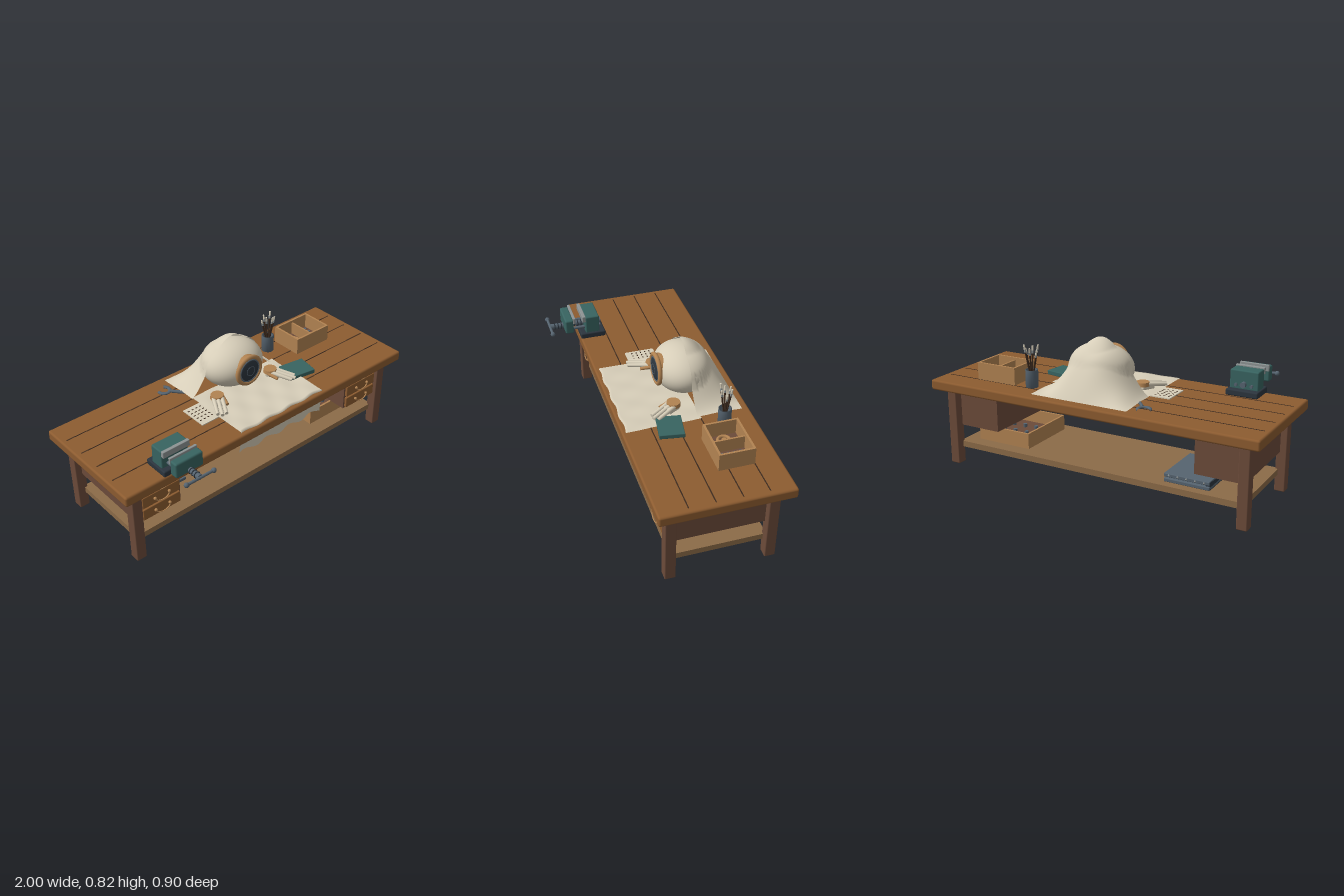
import * as THREE from 'three';
import { RoundedBoxGeometry } from 'three/addons/geometries/RoundedBoxGeometry.js';

const mat = (name, color, side = THREE.FrontSide) => {
  const m = new THREE.MeshStandardMaterial({ color, side });
  m.name = name;
  return m;
};

export function createModel() {
  const oak = mat('oak', 0x8d5c30), walnut = mat('walnut', 0x6c4b3a), shelfWood = mat('shelf wood', 0x8c6b48);
  const tan = mat('light wood', 0xb28352), canvas = mat('canvas', 0xd6cdb8, THREE.DoubleSide);
  const teal = mat('teal', 0x386461), slate = mat('slate', 0x566470), dark = mat('dark iron', 0x2c353e);
  const steel = mat('steel', 0x8d9393), umber = mat('umber', 0x3c2a1e);

  const model = new THREE.Group();
  const group = (name, x = 0, y = 0, z = 0, ry = 0) => {
    const g = new THREE.Group();
    g.name = name;
    g.position.set(x, y, z);
    g.rotation.y = ry;
    model.add(g);
    return g;
  };
  const add = (parent, name, geo, m, x = 0, y = 0, z = 0) => {
    const mesh = new THREE.Mesh(geo, m);
    mesh.name = name;
    mesh.position.set(x, y, z);
    parent.add(mesh);
    return mesh;
  };
  // box given by its limits; r rounds the edges
  const box = (parent, name, m, [x0, x1], [y0, y1], [z0, z1], r = 0) => {
    const s = [x1 - x0, y1 - y0, z1 - z0];
    const geo = r ? new RoundedBoxGeometry(...s, 2, r) : new THREE.BoxGeometry(...s);
    return add(parent, name, geo, m, (x0 + x1) / 2, (y0 + y1) / 2, (z0 + z1) / 2);
  };
  const rod = (parent, name, m, a, b, r0, r1 = r0, sides = 12) => {
    const p = new THREE.Vector3(...a), d = new THREE.Vector3(...b).sub(p);
    const mesh = add(parent, name, new THREE.CylinderGeometry(r1, r0, d.length(), sides), m);
    mesh.position.copy(p).addScaledVector(d, 0.5);
    mesh.quaternion.setFromUnitVectors(new THREE.Vector3(0, 1, 0), d.normalize());
    return mesh;
  };
  // cloth surface: rule maps u (left to right), v (back to front) to a point
  const sheet = (parent, name, nu, nv, rule) => {
    const geo = new THREE.PlaneGeometry(1, 1, nu, nv), p = geo.attributes.position;
    for (let i = 0; i < p.count; i++) p.setXYZ(i, ...rule(p.getX(i) + 0.5, 0.5 - p.getY(i)));
    geo.computeVertexNormals();
    return add(parent, name, geo, canvas);
  };
  // open-topped box
  const tray = (parent, w, h, d, t) => {
    box(parent, 'trayFloor', walnut, [-w / 2 + t, w / 2 - t], [0, 0.012], [-d / 2 + t, d / 2 - t]);
    for (const s of [-1, 1]) {
      box(parent, 'trayEnd', tan, [s * w / 2 - (s > 0 ? t : 0), s * w / 2 + (s > 0 ? 0 : t)], [0, h], [-d / 2, d / 2]);
      box(parent, 'traySide', tan, [-w / 2, w / 2], [0, h], [s * d / 2 - (s > 0 ? t : 0), s * d / 2 + (s > 0 ? 0 : t)]);
    }
  };

  // Bench
  const bench = group('workbench');
  box(bench, 'benchTop', oak, [-1, 1], [0.455, 0.515], [-0.45, 0.268], 0.012);
  for (const z of [-0.31, -0.17, -0.03, 0.11])
    box(bench, 'plankGroove', umber, [-0.97, 0.97], [0.512, 0.516], [z - 0.003, z + 0.003]);
  box(bench, 'lowerShelf', shelfWood, [-0.89, 0.89], [0.095, 0.13], [-0.35, 0.17]);
  for (const s of [-1, 1]) {
    for (const z of [0.183, -0.363])
      box(bench, 'leg', walnut, [s * 0.903 - 0.03, s * 0.903 + 0.03], [0, 0.457], [z - 0.03, z + 0.03], 0.006);
    const cab = group('drawerCabinet', s * 0.745);
    box(cab, 'cabinetCase', walnut, [-0.128, 0.15], [0.23, 0.456], [-0.345, 0.185]).position.x = s * 0.011;
    [[0.238, 0.306], [0.316, 0.386], [0.396, 0.45]].forEach(([y0, y1]) => {
      box(cab, 'drawerFront', oak, [-0.118, 0.118], [y0, y1], [0.18, 0.2], 0.004);
      const y = (y0 + y1) / 2 + 0.004;
      const pull = add(cab, 'drawerPull', new THREE.TorusGeometry(0.045, 0.004, 8, 20, Math.PI), tan, 0, y, 0.208);
      pull.rotation.x = Math.PI - 0.25;
      pull.scale.y = 0.55;
      for (const k of [-1, 1]) add(cab, 'pullKnob', new THREE.SphereGeometry(0.009, 12, 8), tan, k * 0.045, y, 0.207);
    });
  }

  // Crate and metal case on the shelf
  const crate = group('shelfCrate', 0.617, 0.14, -0.103);
  tray(crate, 0.345, 0.09, 0.375, 0.012);
  for (let i = 0; i < 12; i++)
    add(crate, 'loosePart', new THREE.CylinderGeometry(0.012, 0.012, 0.02, 8), slate, -0.12 + (i % 4) * 0.08, 0.022, -0.12 + Math.floor(i / 4) * 0.1);
  const metal = group('metalCase', -0.565, 0.13, -0.165);
  for (const y of [0.012, 0.04]) box(metal, 'casePlate', slate, [-0.13, 0.13], [y, y + 0.02], [-0.16, 0.16], 0.004);
  box(metal, 'caseFoot', dark, [-0.12, 0.12], [0, 0.013], [-0.12, 0.12]);
  box(metal, 'caseSpine', dark, [-0.13, -0.105], [0.015, 0.055], [-0.15, 0.155]);
  for (let i = 0; i < 5; i++) add(metal, 'rivet', new THREE.SphereGeometry(0.006, 8, 6), steel, -0.1 + i * 0.05, 0.05, -0.16);

  // Round head with its ringed eye
  const C = [0.035, 0.655, -0.157], R = [0.187, 0.13, 0.158];
  const head = group('head', ...C);
  add(head, 'headShell', new THREE.SphereGeometry(1, 48, 32), canvas).scale.set(...R);
  const eye = group('eye', 0.037, 0.664, -0.012);
  rod(eye, 'eyeCollar', tan, [0, 0, -0.04], [0, 0, -0.002], 0.084, 0.084, 40);
  add(eye, 'eyeRing', new THREE.TorusGeometry(0.081, 0.013, 12, 48), tan);
  const lens = add(eye, 'lens', new THREE.SphereGeometry(0.072, 40, 16), dark, 0, 0, -0.001);
  lens.scale.z = 0.26;
  add(eye, 'lensRim', new THREE.TorusGeometry(0.066, 0.005, 8, 40), slate, 0, 0, 0.006);
  add(eye, 'pupilRing', new THREE.TorusGeometry(0.028, 0.002, 8, 32), slate, 0, 0, 0.0155);

  // Canvas draped over the back of the head
  const cloth = group('cloth');
  sheet(cloth, 'drapedCloth', 56, 32, (u, v) => {
    const x = -0.255 + u * 0.59, t = 1 - v, z = -0.155 - t * 0.253;
    const o = Math.min(1, Math.abs(x - 0.032) / 0.31);
    let y = 0.522 + 0.303 * (1 - o * o) ** 2 * Math.cos(t * Math.PI / 2);
    const e = 1 - ((x - C[0]) / R[0]) ** 2 - ((z - C[2]) / R[2]) ** 2;
    if (e > 0) y = Math.max(y, C[1] + R[1] * Math.sqrt(e) + 0.008);
    return [x, y + 0.004 * Math.sin(x * 34 + z * 12) * Math.sin(Math.PI * t), z];
  });
  // Canvas laid under the head and falling over the front
  sheet(cloth, 'benchCloth', 48, 40, (u, v) => {
    const x = -0.245 + u * 0.6, wave = Math.sin(x * 38), z = -0.17 + Math.min(v / 0.75, 1) * 0.415;
    const fall = Math.max(0, (v - 0.75) / 0.25);
    const y = 0.524 + 0.003 * wave * Math.sin(z * 22) - fall * (0.147 + 0.004 * wave);
    return [x, y, z + 0.006 * wave * Math.min(1, v) - fall * 0.012];
  });

  // Hands resting on the cloth
  for (const s of [-1, 1]) {
    const hand = group('hand', 0.035 + s * 0.197, 0.553, -0.05, s * 0.5);
    add(hand, 'wrist', new THREE.CylinderGeometry(0.037, 0.04, 0.022, 24), tan, 0, 0.008, 0);
    box(hand, 'palm', canvas, [-0.034, 0.034], [-0.022, 0.008], [-0.02, 0.06], 0.008);
    for (let i = -1; i <= 1; i++)
      rod(hand, 'finger', canvas, [i * 0.023, 0.006, 0.015], [i * 0.024, -0.012, 0.152 - Math.abs(i) * 0.012], 0.012, 0.01);
    rod(hand, 'thumb', tan, [-s * 0.03, 0, 0], [-s * 0.045, -0.012, 0.06], 0.011, 0.009);
  }

  // Punched card, book and wrench
  const card = group('punchedCard', -0.298, 0.516, -0.025);
  box(card, 'cardSheet', canvas, [-0.058, 0.058], [0, 0.006], [-0.085, 0.085]);
  for (let i = 0; i < 20; i++)
    box(card, 'punchMark', umber, [-0.045 + (i % 4) * 0.026, -0.033 + (i % 4) * 0.026], [0.005, 0.007], [-0.06 + Math.floor(i / 4) * 0.026, -0.054 + Math.floor(i / 4) * 0.026]);
  const book = group('book', 0.383, 0.516, 0.015, -0.16);
  box(book, 'bookCover', teal, [-0.08, 0.08], [0, 0.026], [-0.068, 0.068], 0.004);
  const wrench = group('wrench', -0.318, 0.523, -0.33, 0);
  const jaw = add(wrench, 'wrenchJaw', new THREE.TorusGeometry(0.032, 0.011, 8, 24, 4.4), slate);
  jaw.rotation.set(-Math.PI / 2, 0, 2.95);
  jaw.scale.z = 0.6;
  rod(wrench, 'wrenchHandle', slate, [0.02, 0, 0.025], [0.075, 0, 0.09], 0.009);

  // Brush pot
  const pot = group('brushPot', 0.417, 0.515, -0.275);
  const potShape = [[0, 0], [0.036, 0], [0.036, 0.1], [0.03, 0.1], [0.03, 0.02], [0, 0.02]].map(p => new THREE.Vector2(...p));
  add(pot, 'potBody', new THREE.LatheGeometry(potShape, 24), slate);
  for (let i = 0; i < 6; i++) {
    const a = i * 1.05 + 0.3, c = Math.cos(a), s = Math.sin(a), h = 0.175 + (i % 3) * 0.011;
    const at = k => [c * 0.036 * k, 0.02 + (h - 0.02) * k, s * 0.024 * k];
    rod(pot, 'brushHandle', umber, at(0.1), at(1), 0.004, 0.005, 8);
    rod(pot, 'brushFerrule', steel, at(1), at(1.1), 0.006, 0.006, 8);
    rod(pot, 'brushTip', canvas, at(1.1), at(1.25), 0.006, 0.005, 8);
  }

  // Parts tray
  const parts = group('partsTray', 0.638, 0.516, -0.213);
  tray(parts, 0.255, 0.1, 0.195, 0.012);
  box(parts, 'trayDivider', tan, [-0.002, 0.008], [0.01, 0.085], [-0.09, 0.09]);
  const ring = add(parts, 'spareRing', new THREE.TorusGeometry(0.032, 0.009, 10, 28), tan, -0.062, 0.024, 0);
  ring.rotation.x = Math.PI / 2;
  add(parts, 'ringHub', new THREE.CylinderGeometry(0.012, 0.012, 0.02, 16), tan, -0.062, 0.022, 0);
  for (let i = 0; i < 8; i++)
    add(parts, 'screw', new THREE.CylinderGeometry(0.008, 0.008, 0.02, 8), slate, 0.045 + (i % 2) * 0.035, 0.02, -0.05 + Math.floor(i / 2) * 0.033);

  // Vise
  const vise = group('vise', -0.672);
  box(vise, 'viseBase', dark, [-0.093, 0.093], [0.515, 0.551], [0.118, 0.268], 0.008);
  box(vise, 'rearJaw', teal, [-0.083, 0.083], [0.545, 0.655], [0.152, 0.236], 0.008);
  box(vise, 'rearJawPlate', steel, [-0.083, 0.083], [0.624, 0.661], [0.234, 0.254], 0.003);
  box(vise, 'frontJaw', teal, [-0.085, 0.085], [0.562, 0.65], [0.308, 0.358], 0.01);
  box(vise, 'frontJawPlate', steel, [-0.085, 0.085], [0.624, 0.661], [0.296, 0.311], 0.003);
  rod(vise, 'screw', slate, [0, 0.578, 0.13], [0, 0.578, 0.435], 0.016, 0.016, 16);
  for (const x of [-0.045, 0.045]) rod(vise, 'guideRod', slate, [x, 0.573, 0.14], [x, 0.573, 0.33], 0.009);
  for (let i = 0; i < 9; i++)
    add(vise, 'thread', new THREE.TorusGeometry(0.016, 0.0035, 6, 16), dark, 0, 0.578, 0.25 + i * 0.02);
  rod(vise, 'handleBar', slate, [-0.085, 0.578, 0.437], [0.085, 0.578, 0.437], 0.008);
  for (const s of [-1, 1]) add(vise, 'handleKnob', new THREE.SphereGeometry(0.014, 14, 10), slate, s * 0.085, 0.578, 0.437);

  return model;
}
